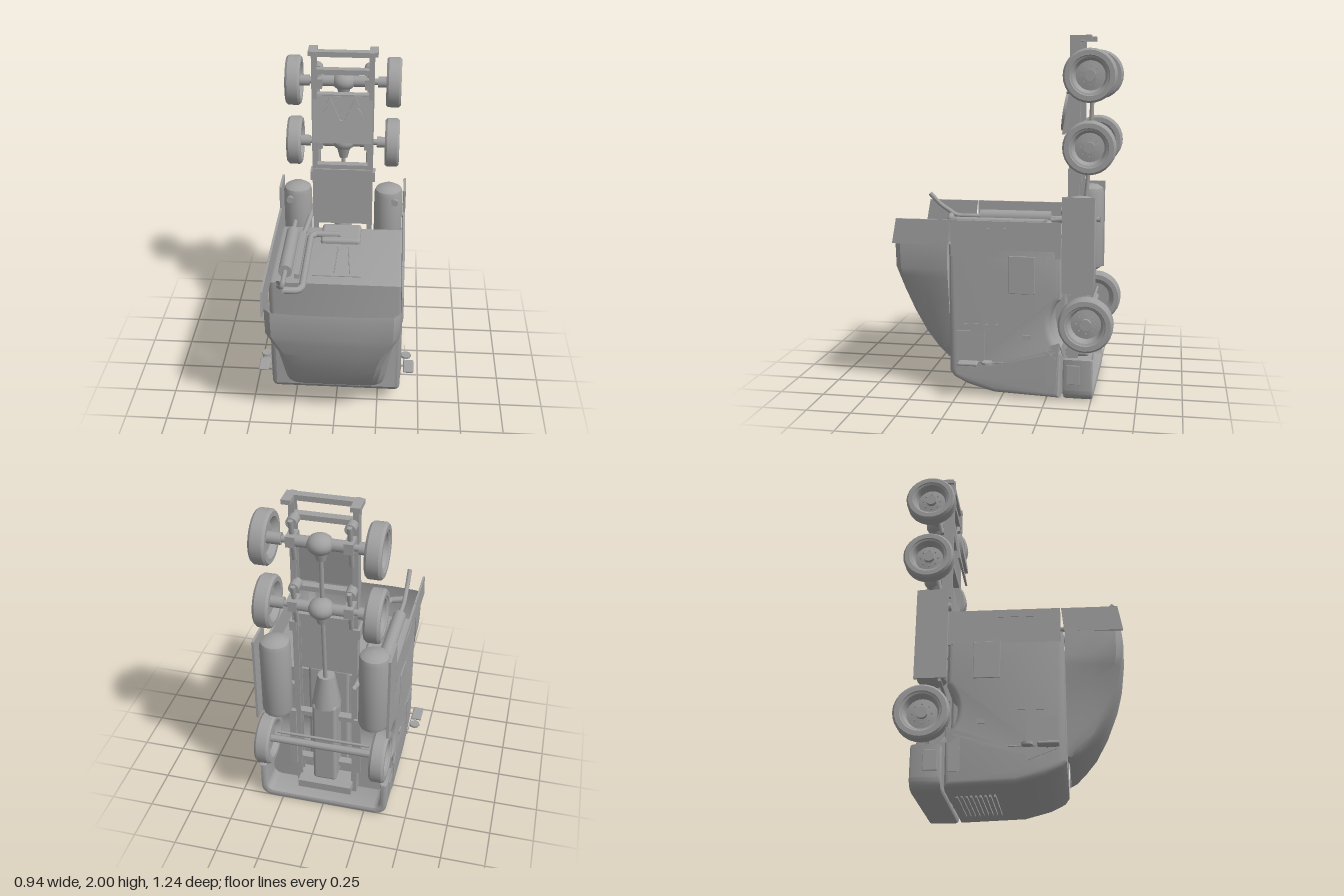
import * as THREE from 'three';
import { toCreasedNormals } from 'three/addons/utils/BufferGeometryUtils.js';
import { RoundedBoxGeometry } from 'three/addons/geometries/RoundedBoxGeometry.js';

// A tractor unit standing on its nose: length runs up y, its roof faces +z.
export function createModel() {
  const root = new THREE.Group();
  const grey = new THREE.MeshStandardMaterial({ color: 0xa0a0a0, side: THREE.DoubleSide });
  grey.name = 'plain grey';
  const V = (x, y, z) => new THREE.Vector3(x, y, z);

  const add = (name, geo, x = 0, y = 0, z = 0, parent = root) => {
    const m = new THREE.Mesh(geo, grey);
    m.name = name;
    m.position.set(x, y, z);
    parent.add(m);
    return m;
  };
  // Box given by its minimum and maximum corners
  const box = (name, x0, x1, y0, y1, z0, z1, r = 0) => add(name,
    r ? new RoundedBoxGeometry(x1 - x0, y1 - y0, z1 - z0, 2, r) : new THREE.BoxGeometry(x1 - x0, y1 - y0, z1 - z0),
    (x0 + x1) / 2, (y0 + y1) / 2, (z0 + z1) / 2);
  const pipe = (name, pts, r, sides = 10) => {
    const path = new THREE.CurvePath();
    for (let i = 1; i < pts.length; i++) path.add(new THREE.LineCurve3(V(...pts[i - 1]), V(...pts[i])));
    return add(name, new THREE.TubeGeometry(path, pts.length * 8, r, sides));
  };
  const rod = (name, a, b, r, sides = 10) => {
    const A = V(...a), B = V(...b), d = B.clone().sub(A);
    const m = add(name, new THREE.CylinderGeometry(r, r, d.length(), sides));
    m.position.copy(A).add(B).multiplyScalar(0.5);
    m.quaternion.setFromUnitVectors(V(0, 1, 0), d.normalize());
    return m;
  };
  // Side profile (shape x is -z) extruded across the width
  const across = (shape, width, bevel) => {
    const g = new THREE.ExtrudeGeometry(shape, {
      depth: width - 2 * bevel, bevelEnabled: bevel > 0, bevelThickness: bevel, bevelSize: bevel,
      bevelOffset: -bevel, bevelSegments: 3, curveSegments: 20,
    });
    g.rotateY(Math.PI / 2);
    g.translate(-width / 2 + bevel, 0, 0);
    return toCreasedNormals(g, 0.6);
  };

  // Cab body with wheel arch cut-outs
  const cab = new THREE.Shape();
  cab.moveTo(-0.295, 0.87);
  cab.lineTo(-0.295, 0.14);
  cab.lineTo(-0.27, 0.105);
  cab.lineTo(-0.19, 0.065);
  cab.lineTo(-0.04, 0.025);
  cab.lineTo(0.33, 0.012);
  cab.lineTo(0.33, 0.29);
  cab.absarc(0.465, 0.43, 0.195, -2.334, 2.334, true);
  cab.lineTo(0.33, 0.87);
  cab.closePath();
  add('cabBody', across(cab, 0.77, 0.03));

  // Side walls behind the cab
  for (const s of [-1, 1]) {
    const x = s * 0.378;
    box('sideExtender', x - 0.007, x + 0.007, 0.8, 1.0, -0.33, 0.28);
  }

  // Hollow roof fairing: rows of [y, base half width, front half width, front z]
  const rows = [
    [0.17, 0.25, 0.20, 0.31], [0.19, 0.285, 0.235, 0.35], [0.24, 0.30, 0.25, 0.40], [0.32, 0.312, 0.26, 0.465],
    [0.45, 0.335, 0.275, 0.535], [0.58, 0.36, 0.305, 0.585], [0.67, 0.378, 0.345, 0.607],
    [0.72, 0.385, 0.368, 0.618], [0.85, 0.385, 0.37, 0.622], [0.88, 0.385, 0.37, 0.618],
  ];
  const ring = ([y, w, f, z]) => {
    const k = z - 0.3;
    const half = [[w, 0.3], [w * 0.7 + f * 0.3, 0.3 + k * 0.45], [f, 0.3 + k * 0.85], [f - 0.035, z - k * 0.04], [f * 0.5, z]];
    return [...half.map(([x, q]) => [x, y, q]), ...half.reverse().map(([x, q]) => [-x, y, q])];
  };
  const pos = [], idx = [];
  const n = 10;
  rows.forEach((r, i) => {
    pos.push(...ring(r).flat());
    if (!i) return;
    for (let j = 0; j < n - 1; j++) {
      const a = (i - 1) * n + j, b = a + n;
      idx.push(a, b, a + 1, b, b + 1, a + 1);
    }
  });
  const shell = new THREE.BufferGeometry();
  shell.setAttribute('position', new THREE.Float32BufferAttribute(pos, 3));
  shell.setIndex(idx);
  add('roofFairing', toCreasedNormals(shell, 0.5));
  const ear = new THREE.Shape([[-0.3, 0.86], [-0.615, 0.86], [-0.59, 1.0], [-0.285, 1.0]].map(p => new THREE.Vector2(...p)));
  for (const s of [-1, 1]) add('fairingSide', across(ear, 0.012, 0), s * 0.377);

  // Bumper wrapped around the nose
  const bump = new THREE.Shape();
  bump.moveTo(-0.385, 0.24);
  bump.lineTo(-0.385, 0.07);
  bump.quadraticCurveTo(-0.38, 0.005, -0.31, 0);
  bump.lineTo(0.31, 0);
  bump.quadraticCurveTo(0.38, 0.005, 0.385, 0.07);
  bump.lineTo(0.385, 0.24);
  bump.lineTo(0.345, 0.24);
  bump.lineTo(0.345, 0.09);
  bump.quadraticCurveTo(0.34, 0.05, 0.3, 0.045);
  bump.lineTo(-0.3, 0.045);
  bump.quadraticCurveTo(-0.34, 0.05, -0.345, 0.09);
  bump.lineTo(-0.345, 0.24);
  bump.closePath();
  const bumpGeo = new THREE.ExtrudeGeometry(bump, { depth: 0.135, bevelThickness: 0.015, bevelSize: 0.015, bevelOffset: -0.015, bevelSegments: 2 });
  add('bumper', toCreasedNormals(bumpGeo, 0.6), 0, 0, -0.495);

  // Nose grille bars and lamps
  for (let i = 0; i < 9; i++) box('grilleBar', -0.2, 0.2, 0.006, 0.022, -0.29 + i * 0.025, -0.28 + i * 0.025);
  for (const x of [-0.24, -0.08, 0.08, 0.24]) box('noseLamp', x - 0.03, x + 0.03, -0.0, 0.01, -0.41, -0.385);

  // Doors, windows, steps and fittings on both flanks
  const win = new THREE.Shape([[-0.25, 0.2], [-0.25, 0.375], [-0.09, 0.385], [-0.09, 0.14]].map(p => new THREE.Vector2(...p)));
  const step = new THREE.Shape([[0.25, 0.09], [0.25, 0.29], [0.31, 0.24], [0.31, 0.09]].map(p => new THREE.Vector2(...p)));
  for (const s of [-1, 1]) {
    const x = s * 0.386;
    add('sideWindow', across(win, 0.006, 0), x);
    add('stepRecess', across(step, 0.006, 0), x);
    box('lockerHatch', x - 0.004, x + 0.004, 0.6, 0.81, -0.19, -0.045, 0.003);
    box('doorSeam', x - 0.002, x + 0.002, 0.415, 0.421, 0.01, 0.23);
    box('doorHandle', x - 0.006, x + 0.006, 0.345, 0.37, -0.17, -0.125);
    box('rearSeam', x - 0.002, x + 0.002, 0.955, 0.961, -0.06, 0.14);
    box('cornerLamp', x - 0.004, x + 0.004, 0.1, 0.21, -0.44, -0.365, 0.003);
  }

  // Mirrors, each with a plate, a round glass and an arm
  for (const [s, dx, dz] of [[-1, 0, 0], [1, -0.005, -0.03]]) {
    const x = s * (0.44 + dx);
    box('mirrorPlate', x - 0.031, x + 0.031, 0.2, 0.216, 0.15 + dz, 0.262 + dz, 0.007);
    add('roundMirror', new THREE.CylinderGeometry(0.031, 0.031, 0.014, 8), s * (0.44 + dx * 4), 0.21, 0.1 + dz);
    rod('mirrorArm', [s * 0.41, 0.21, dz], [s * 0.41, 0.21, 0.25 + dz], 0.003, 6);
    rod('mirrorBracket', [s * 0.37, 0.21, 0.2 + dz], [x, 0.205, 0.2 + dz], 0.005, 6);
  }

  // Exhaust stack, silencer and air duct on the rear wall
  const can = rod('silencer', [-0.29, 0.915, -0.19], [-0.29, 0.915, 0.25], 0.042, 12);
  can.scale.x = 0.95;
  pipe('exhaustStack', [[-0.29, 0.915, -0.32], [-0.29, 0.915, 0.4], [-0.29, 0.98, 0.5], [-0.29, 1.05, 0.57]], 0.014);
  pipe('airDuct', [[0, 0.905, -0.195], [-0.15, 0.905, -0.195], [-0.18, 0.905, -0.165], [-0.18, 0.905, 0.38], [-0.2, 0.905, 0.42], [-0.28, 0.915, 0.435]], 0.02);
  box('exhaustBracket', -0.24, -0.21, 0.865, 0.9, -0.21, 0.25);
  pipe('exhaustElbow', [[-0.19, 0.93, -0.5], [-0.2, 0.93, -0.36], [-0.22, 0.91, -0.2]], 0.016);
  box('wallSeam', -0.14, 0.14, 0.868, 0.875, 0.208, 0.215);
  for (const s of [-1, 1]) rod('airLine', [s * 0.03 + 0.02, 0.875, -0.1], [s * 0.045 + 0.03, 0.88, 0.19], 0.003, 5);

  // Engine and gearbox
  box('engine', -0.12, 0.12, 0.2, 0.9, -0.34, -0.14, 0.02);
  box('engineSump', -0.07, 0.07, 0.16, 0.72, -0.46, -0.32, 0.02);
  add('gearbox', new THREE.CylinderGeometry(0.05, 0.085, 0.2, 10), 0, 0.8, -0.39);
  box('radiator', -0.16, 0.16, 0.08, 0.13, -0.47, -0.3);
  rod('driveShaft', [0, 0.88, -0.41], [0, 1.35, -0.45], 0.012, 8);
  rod('rearShaft', [0, 1.45, -0.45], [0, 1.74, -0.46], 0.012, 8);

  // Frame rails, each a channel, with cross members and deck
  for (const s of [-1, 1]) {
    const x = s * 0.175;
    box('frameRail', x - 0.006, x + 0.006, 0.05, 2.0, -0.405, -0.35);
    for (const z of [-0.352, -0.403]) box('railFlange', x - (s > 0 ? 0.025 : 0.006), x + (s > 0 ? 0.006 : 0.025), 0.05, 2.0, z - 0.004, z + 0.004);
    box('railEnd', x - 0.025, x + 0.025, 1.975, 2.0, -0.465, -0.355);
    box('railBracket', x - 0.02, x + 0.02, 1.19, 1.25, -0.42, -0.35);
  }
  for (const y of [0.25, 0.6, 1.28, 1.46, 1.73, 1.88, 1.985]) box('crossMember', -0.17, 0.17, y - 0.015, y + 0.015, -0.4, -0.355);
  box('deckPlate', -0.175, 0.175, 0.9, 1.27, -0.352, -0.342);

  // Coupling plate with a slotted round head
  const fifth = new THREE.Group();
  fifth.name = 'couplingPlate';
  fifth.position.set(0, 1.6, -0.325);
  fifth.rotation.x = -0.16;
  root.add(fifth);
  const head = new THREE.Shape();
  head.moveTo(0.02, 0.02);
  head.lineTo(0.075, 0.14);
  head.lineTo(0.1, 0.09);
  head.absarc(0, -0.01, 0.125, 0.8, Math.PI - 0.8, true);
  head.lineTo(-0.1, 0.09);
  head.lineTo(-0.075, 0.14);
  head.lineTo(-0.02, 0.02);
  head.absarc(0, 0.02, 0.02, Math.PI, 0, false);
  add('couplingHead', new THREE.ExtrudeGeometry(head, { depth: 0.018, bevelEnabled: false, curveSegments: 16 }), 0, 0, 0, fifth);
  add('couplingBase', new THREE.BoxGeometry(0.35, 0.28, 0.012), 0, 0, -0.01, fifth);

  // Fuel tanks with outer skirts
  for (const s of [-1, 1]) {
    const dome = [[0, 0], [0.05, 0.005], [0.08, 0.025], [0.087, 0.05], [0.087, 0.48], [0.08, 0.505], [0.05, 0.525], [0, 0.53]];
    add('fuelTank', toCreasedNormals(new THREE.LatheGeometry(dome.map(p => new THREE.Vector2(...p)), 16), 0.7), s * 0.28, 0.605, -0.425);
    box('tankSkirt', s * 0.378 - 0.007, s * 0.378 + 0.007, 0.61, 1.14, -0.51, -0.335);
    box('tankMount', s * 0.275 - 0.1, s * 0.275 + 0.1, 0.75, 0.78, -0.37, -0.34);
    add('tankCap', new THREE.CylinderGeometry(0.022, 0.022, 0.02, 10), s * 0.32, 1.06, -0.335).rotation.x = Math.PI / 2;
  }

  // Wheels: [radius, axial] section, outer face pointing away from the centre
  const section = [[0.03, 0.0], [0.03, 0.018], [0, 0.018], [0.03, 0.018], [0.03, -0.005], [0.08, -0.012], [0.094, 0.034], [0.104, 0.038],
    [0.108, 0.043], [0.134, 0.043], [0.145, 0.03], [0.145, -0.03], [0.134, -0.043], [0.108, -0.043], [0.098, -0.034], [0.08, -0.014], [0, -0.014]];
  const wheel = (name, s, x, y, z, k) => {
    const g = new THREE.Group();
    g.name = name;
    g.position.set(s * x, y, z);
    g.rotation.z = -s * Math.PI / 2;
    g.scale.set(k, 1, k);
    root.add(g);
    add('tyreAndRim', toCreasedNormals(new THREE.LatheGeometry(section.map(p => new THREE.Vector2(...p)), 28), 0.5), 0, 0, 0, g);
    for (let i = 0; i < 8; i++) {
      const a = i * Math.PI / 4;
      add('wheelNut', new THREE.CylinderGeometry(0.005, 0.005, 0.012, 6), Math.cos(a) * 0.05, -0.004, Math.sin(a) * 0.05, g);
    }
  };
  for (const s of [-1, 1]) {
    wheel('frontWheel', s, 0.335, 0.43, -0.465, 1.05);
    for (const y of [1.4, 1.785]) {
      wheel('rearWheel', s, 0.292, y, -0.47, 1);
      // Suspension arms, air bags and brake drums
      add('airBag', new THREE.CylinderGeometry(0.03, 0.03, 0.07, 12), s * 0.15, y + 0.09, -0.43).rotation.x = Math.PI / 2;
      rod('trailingArm', [s * 0.15, y - 0.14, -0.42], [s * 0.15, y + 0.11, -0.475], 0.014, 6);
      rod('brakeDrum', [s * 0.2, y, -0.47], [s * 0.275, y, -0.47], 0.032, 12);
      box('axleBracket', s * 0.15 - 0.025, s * 0.15 + 0.025, y - 0.03, y + 0.03, -0.5, -0.41);
    }
    box('leafSpring', s * 0.19 - 0.02, s * 0.19 + 0.02, 0.24, 0.64, -0.44, -0.425);
    rod('fenderStay', [s * 0.18, 0.59, -0.37], [s * 0.38, 0.6, -0.37], 0.01, 8);
  }
  rod('frontAxle', [-0.32, 0.43, -0.465], [0.32, 0.43, -0.465], 0.022, 8);
  rod('steeringRod', [-0.27, 0.5, -0.48], [0.27, 0.5, -0.48], 0.008, 8);
  for (const y of [1.4, 1.785]) {
    rod('rearAxle', [-0.27, y, -0.47], [0.27, y, -0.47], 0.018, 10);
    add('differential', new THREE.SphereGeometry(0.07, 16, 12), 0, y, -0.475).scale.y = 0.8;
    rod('axleHousing', [-0.13, y, -0.47], [0.13, y, -0.47], 0.032, 10);
    add('pinionNose', new THREE.CylinderGeometry(0.045, 0.025, 0.08, 10), 0, y - 0.06, -0.46);
  }
  return root;
}
